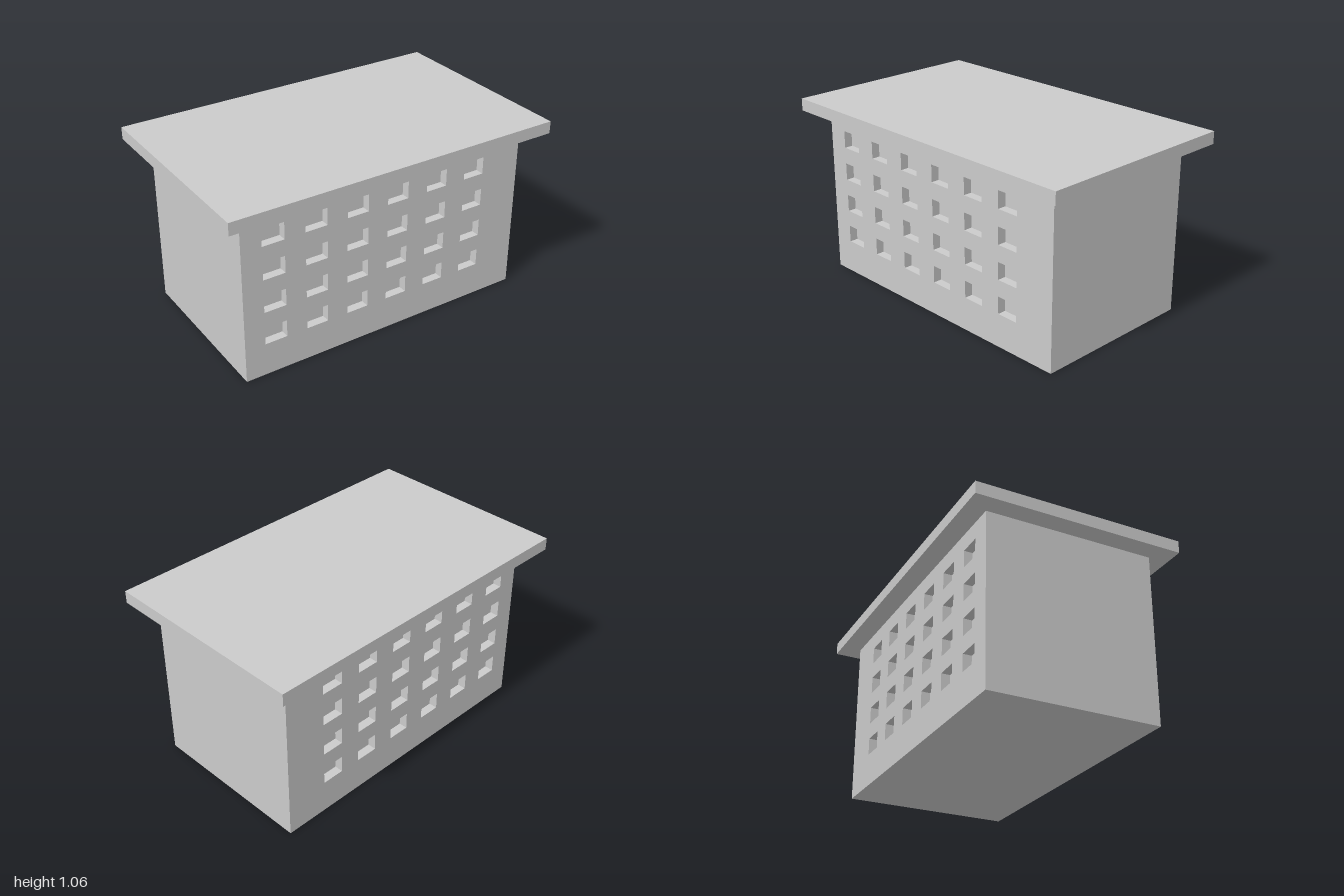
import * as THREE from 'three';

const WIDTH = 1.77, HEIGHT = 0.987, DEPTH = 0.986, RECESS = 0.05;

function rectangle(target, x, y, w, h) {
  target.moveTo(x, y);
  target.lineTo(x + w, y);
  target.lineTo(x + w, y + h);
  target.lineTo(x, y + h);
  target.closePath();
  return target;
}

// Wall panel pierced by a grid of window openings
function facadeGeometry() {
  const wall = rectangle(new THREE.Shape(), -WIDTH / 2, 0, WIDTH, HEIGHT);
  for (let row = 0; row < 4; row++) {
    for (let col = 0; col < 6; col++) {
      wall.holes.push(rectangle(new THREE.Path(), -0.765 + col * 0.254, 0.195 + row * 0.198, 0.131, 0.101));
    }
  }
  return new THREE.ExtrudeGeometry(wall, { depth: RECESS, bevelEnabled: false });
}

export function createModel() {
  const group = new THREE.Group();
  group.name = 'building';
  const material = new THREE.MeshStandardMaterial({ color: 0xcccccc });

  const add = (name, geometry, y, z) => {
    const mesh = new THREE.Mesh(geometry, material);
    mesh.name = name;
    mesh.position.set(0, y, z);
    group.add(mesh);
  };

  // Solid core, whose front and back form the recessed window panes
  const coreDepth = DEPTH - 2 * RECESS;
  add('core', new THREE.BoxGeometry(WIDTH, HEIGHT, coreDepth), HEIGHT / 2, 0);

  // Windowed walls, both with the same layout along x
  const facade = facadeGeometry();
  add('frontWall', facade, 0, coreDepth / 2);
  add('backWall', facade, 0, -DEPTH / 2);

  // Overhanging flat roof
  const roofHeight = 0.072;
  add('roof', new THREE.BoxGeometry(2, roofHeight, 1.22), HEIGHT + roofHeight / 2, 0);

  return group;
}
